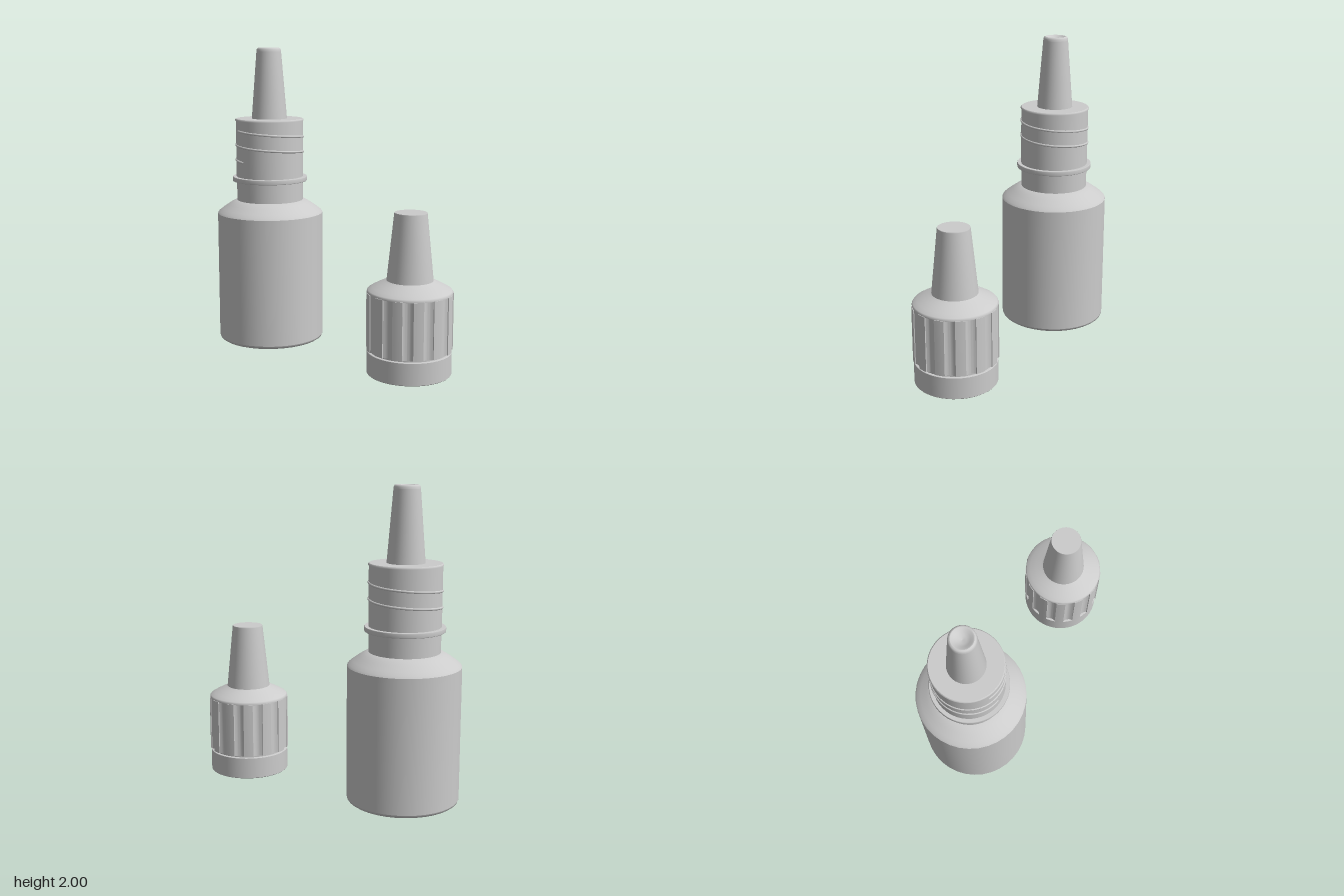
import * as THREE from 'three';
import { mergeGeometries, toCreasedNormals } from 'three/addons/utils/BufferGeometryUtils.js';

const material = new THREE.MeshStandardMaterial({ color: 0xcccccc });

function addMesh(parent, name, geometry) {
  const mesh = new THREE.Mesh(geometry, material);
  mesh.name = name;
  parent.add(mesh);
  return mesh;
}

// Lathe made of several runs of [radius, y]; edges between runs stay sharp.
function turned(runs, segments = 48) {
  return mergeGeometries(runs.map((run) =>
    new THREE.LatheGeometry(run.map(([r, y]) => new THREE.Vector2(r, y)), segments)));
}

// Helical ridge that descends around the neck.
class Helix extends THREE.Curve {
  getPoint(t, target = new THREE.Vector3()) {
    const a = THREE.MathUtils.lerp(-0.4, 4 * Math.PI - 0.1, t);
    return target.set(0.227 * Math.sin(a), 1.445 - 0.21 * t, 0.227 * Math.cos(a));
  }
}

// Ring with raised ribs and shallow concave flutes between them.
function gripGeometry(ribs, bottom, top) {
  const points = [];
  const period = (2 * Math.PI) / ribs;
  const add = (r, a) => points.push(new THREE.Vector2(r * Math.cos(a), r * Math.sin(a)));
  for (let i = 0; i < ribs; i++) {
    const centre = Math.PI + i * period;
    for (let k = -2; k <= 2; k++) add(0.27, centre + (k / 2) * period * 0.24);
    for (let k = -4; k <= 4; k++) {
      const t = k / 4;
      add(0.264 - 0.012 * (1 - t * t), centre + period * (0.5 + t * 0.25));
    }
  }
  const shape = new THREE.Shape(points);
  shape.holes.push(new THREE.Path().absarc(0, 0, 0.246, 0, 2 * Math.PI, true));
  const geometry = new THREE.ExtrudeGeometry(shape, {
    depth: top - bottom, bevelEnabled: false, curveSegments: 32,
  });
  geometry.rotateX(-Math.PI / 2).translate(0, bottom, 0);
  return toCreasedNormals(geometry, 0.6);
}

function createBottle() {
  const bottle = new THREE.Group();
  bottle.name = 'bottle';

  // Body with a slightly hollow base and a rounded shoulder
  addMesh(bottle, 'body', turned([
    [[0, 0.015], [0.2, 0.011], [0.33, 0]],
    [[0.33, 0], [0.345, 0.002], [0.356, 0.01], [0.36, 0.022]],
    [[0.36, 0.022], [0.36, 0.88]],
    [[0.36, 0.88], [0.35, 0.893], [0.325, 0.912], [0.285, 0.94], [0.26, 0.955], [0.24, 0.965], [0.224, 0.97]],
  ], 36));

  addMesh(bottle, 'neck', turned([
    [[0.226, 0.96], [0.226, 1.1]],
    [[0.228, 1.1], [0.228, 1.514]],
    [[0.228, 1.514], [0, 1.514]],
  ]));

  addMesh(bottle, 'neckCollar', turned([
    [[0.22, 1.1], [0.252, 1.1]],
    [[0.252, 1.1], [0.255, 1.104], [0.255, 1.127], [0.252, 1.131]],
    [[0.252, 1.131], [0.22, 1.131]],
  ]));

  addMesh(bottle, 'neckThread', new THREE.TubeGeometry(new Helix(), 128, 0.008, 8, false));

  // Dropper insert: flange, tapered nozzle and dimpled tip
  addMesh(bottle, 'dropperFlange', turned([
    [[0.22, 1.512], [0.232, 1.512]],
    [[0.232, 1.512], [0.232, 1.52], [0.226, 1.525]],
    [[0.226, 1.525], [0, 1.525]],
  ]));
  addMesh(bottle, 'dropperNozzle', turned([
    [[0.12, 1.52], [0.083, 1.975]],
    [[0.083, 1.975], [0.081, 1.988], [0.076, 1.997], [0.068, 2]],
    [[0.068, 2], [0.06, 1.998], [0.045, 1.987], [0.025, 1.977], [0, 1.973]],
  ], 40));
  return bottle;
}

function createCap() {
  const cap = new THREE.Group();
  cap.name = 'cap';

  // Hollow shell: inside wall downwards, then outside wall upwards
  addMesh(cap, 'capShell', turned([
    [[0, 0.98], [0.085, 0.98]],
    [[0.085, 0.98], [0.125, 0.57]],
    [[0.125, 0.57], [0.24, 0.51]],
    [[0.24, 0.51], [0.24, 0.145]],
    [[0.25, 0.14], [0.25, 0.52]],
    [[0.25, 0.516], [0.266, 0.516]],
    [[0.266, 0.516], [0.266, 0.526], [0.26, 0.534], [0.235, 0.549], [0.195, 0.57], [0.16, 0.585], [0.145, 0.593]],
    [[0.145, 0.593], [0.102, 1.01], [0.1, 1.015]],
    [[0.1, 1.015], [0, 1.015]],
  ]));

  addMesh(cap, 'capGrip', gripGeometry(13, 0.156, 0.518));

  // Tamper band below the grip
  addMesh(cap, 'tamperBand', turned([
    [[0.238, 0.146], [0.238, 0.004]],
    [[0.238, 0.004], [0.242, 0], [0.261, 0], [0.265, 0.004]],
    [[0.265, 0.004], [0.265, 0.142]],
    [[0.265, 0.142], [0.262, 0.146], [0.238, 0.146]],
  ]));
  return cap;
}

export function createModel() {
  const model = new THREE.Group();
  model.name = 'dropperBottleWithCap';
  const bottle = createBottle();
  bottle.position.x = -0.56;
  const cap = createCap();
  cap.position.x = 0.645;
  model.add(bottle, cap);
  return model;
}
